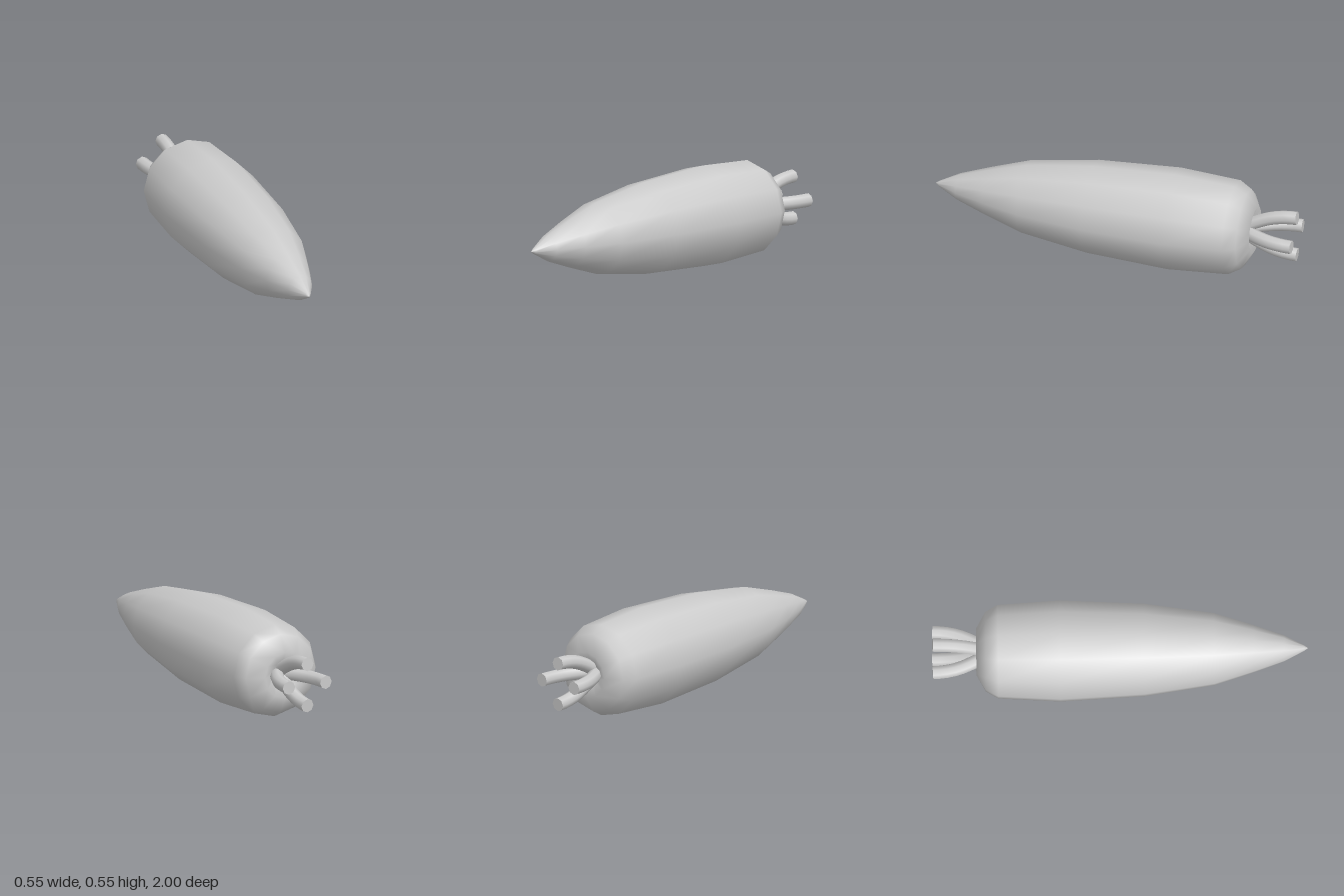
import * as THREE from 'three';

const CENTRE_Y = 0.2735;

export function createModel() {
  const group = new THREE.Group();
  const material = new THREE.MeshStandardMaterial({ color: 0xcccccc });

  // Root: twelve-sided smooth lathe, [radius, z] from dimpled crown to tip
  const profile = [
    [0, -0.71], [0.06, -0.73], [0.125, -0.768], [0.215, -0.718], [0.253, -0.652],
    [0.2735, -0.32], [0.25, 0.13], [0.195, 0.5], [0.128, 0.71], [0.071, 0.872],
    [0.016, 0.978], [0, 1],
  ].map(([r, z]) => new THREE.Vector2(r, z));
  const rootGeometry = new THREE.LatheGeometry(profile, 12);
  rootGeometry.rotateX(Math.PI / 2);
  const root = new THREE.Mesh(rootGeometry, material);
  root.name = 'root';
  root.position.y = CENTRE_Y;
  group.add(root);

  // Stems: four tubes curving out of the crown, each with a flat cut end
  const path = new THREE.CatmullRomCurve3([
    new THREE.Vector3(0.015, 0, -0.71),
    new THREE.Vector3(0.052, 0, -0.77),
    new THREE.Vector3(0.092, 0, -0.86),
    new THREE.Vector3(0.11, 0, -0.94),
    new THREE.Vector3(0.114, 0, -1),
  ]);
  const tube = new THREE.TubeGeometry(path, 8, 0.037, 8);
  const cap = new THREE.CircleGeometry(0.037, 8);
  for (let i = 0; i < 4; i++) {
    const stem = new THREE.Group();
    stem.name = `stem${i + 1}`;
    const stalk = new THREE.Mesh(tube, material);
    stalk.name = 'stalk';
    const cutEnd = new THREE.Mesh(cap, material);
    cutEnd.name = 'cutEnd';
    cutEnd.position.copy(path.getPoint(1));
    cutEnd.lookAt(cutEnd.position.clone().add(path.getTangent(1)));
    stem.add(stalk, cutEnd);
    stem.rotation.z = (i * Math.PI) / 2;
    stem.position.y = CENTRE_Y;
    group.add(stem);
  }
  return group;
}
